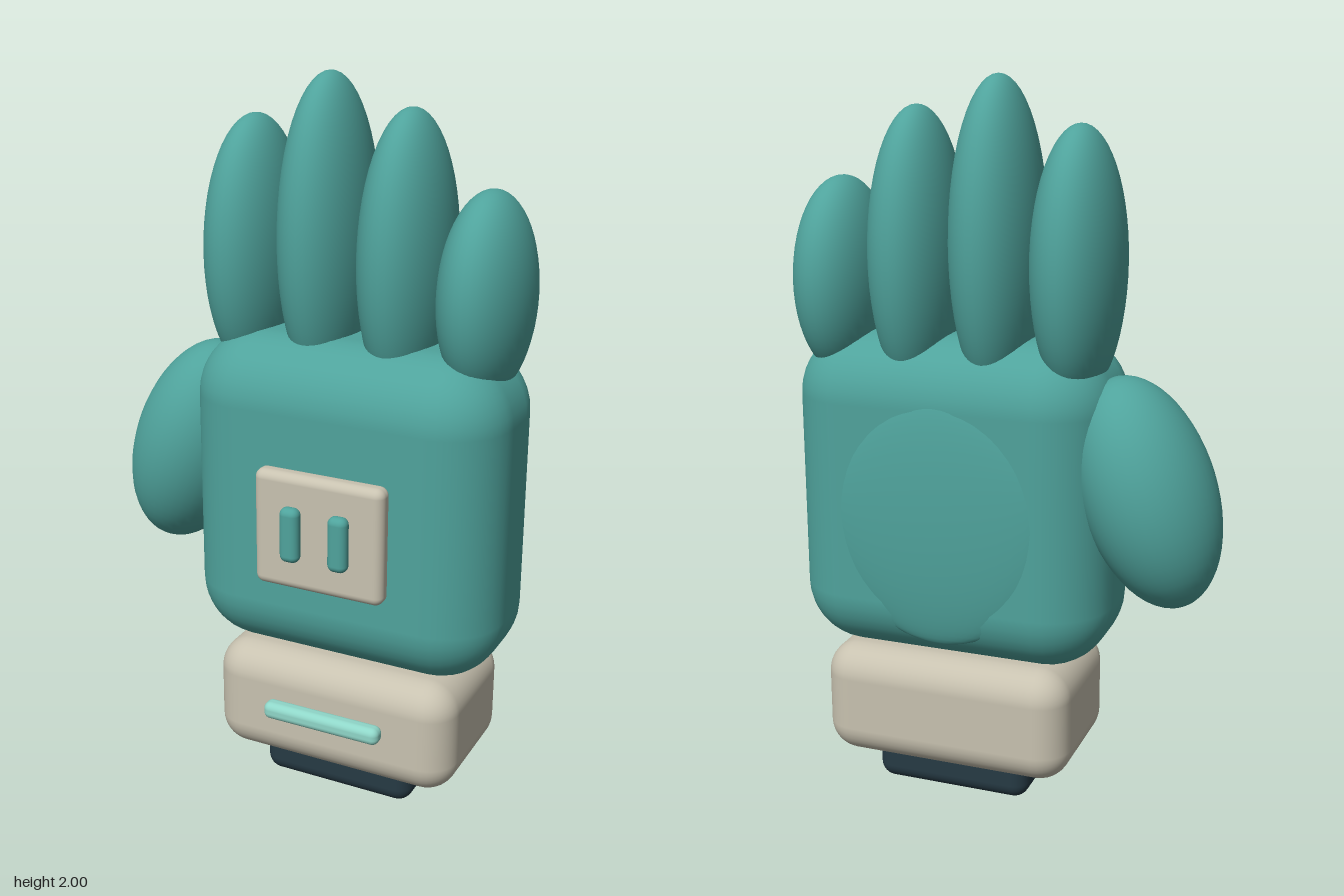
import * as THREE from 'three';
import { RoundedBoxGeometry } from 'three/addons/geometries/RoundedBoxGeometry.js';

const material = (color) => new THREE.MeshStandardMaterial({ color });

export function createModel() {
  const model = new THREE.Group();
  const teal = material(0x4fa39c);
  const cream = material(0xc8c2b0);
  const dark = material(0x263a44);
  const mint = material(0x8fd6c8);

  function add(name, geometry, mat) {
    const mesh = new THREE.Mesh(geometry, mat);
    mesh.name = name;
    model.add(mesh);
    return mesh;
  }

  // Rounded block given by its min and max corners
  function block(name, min, max, radius, mat) {
    const [w, h, d] = max.map((v, i) => v - min[i]);
    const mesh = add(name, new RoundedBoxGeometry(w, h, d, 5, radius), mat);
    mesh.position.set(...max.map((v, i) => (v + min[i]) / 2));
    return mesh;
  }

  function ellipsoid(name, centre, radii, mat) {
    const mesh = add(name, new THREE.SphereGeometry(1, 40, 28), mat);
    mesh.position.set(...centre);
    mesh.scale.set(...radii);
    return mesh;
  }

  // Wrist: plug, cuff and light strip
  block('wristPlug', [-0.09, 0, -0.175], [0.365, 0.18, 0.125], 0.045, dark);
  block('cuff', [-0.22, 0.09, -0.245], [0.505, 0.42, 0.197], 0.09, cream);
  block('cuffLight', [-0.037, 0.24, 0.185], [0.315, 0.29, 0.235], 0.02, mint);

  // Hand body with a shallow pad on the back side
  block('palm', [-0.31, 0.41, -0.258], [0.59, 1.32, 0.203], 0.18, teal);
  ellipsoid('palmPad', [0.14, 0.84, -0.232], [0.32, 0.36, 0.05], teal);

  // Plate on the front with two raised bars
  block('plate', [-0.048, 0.67, 0.19], [0.327, 1.0, 0.25], 0.025, cream);
  for (const x of [0.069, 0.209]) {
    block('plateBar', [x - 0.028, 0.76, 0.24], [x + 0.028, 0.915, 0.282], 0.02, teal);
  }

  // Four fingers: x position, bottom and tip heights
  const fingers = [[-0.2, 1.16, 1.88], [0.022, 1.14, 2.0], [0.252, 1.14, 1.92], [0.474, 1.18, 1.73]];
  for (const [x, bottom, tip] of fingers) {
    ellipsoid('finger', [x, (bottom + tip) / 2, -0.065], [0.12, (tip - bottom) / 2, 0.2], teal);
  }

  // Thumb leaning in towards the palm
  ellipsoid('thumb', [-0.4, 0.925, -0.067], [0.18, 0.322, 0.203], teal).rotation.z = -0.33;

  return model;
}
